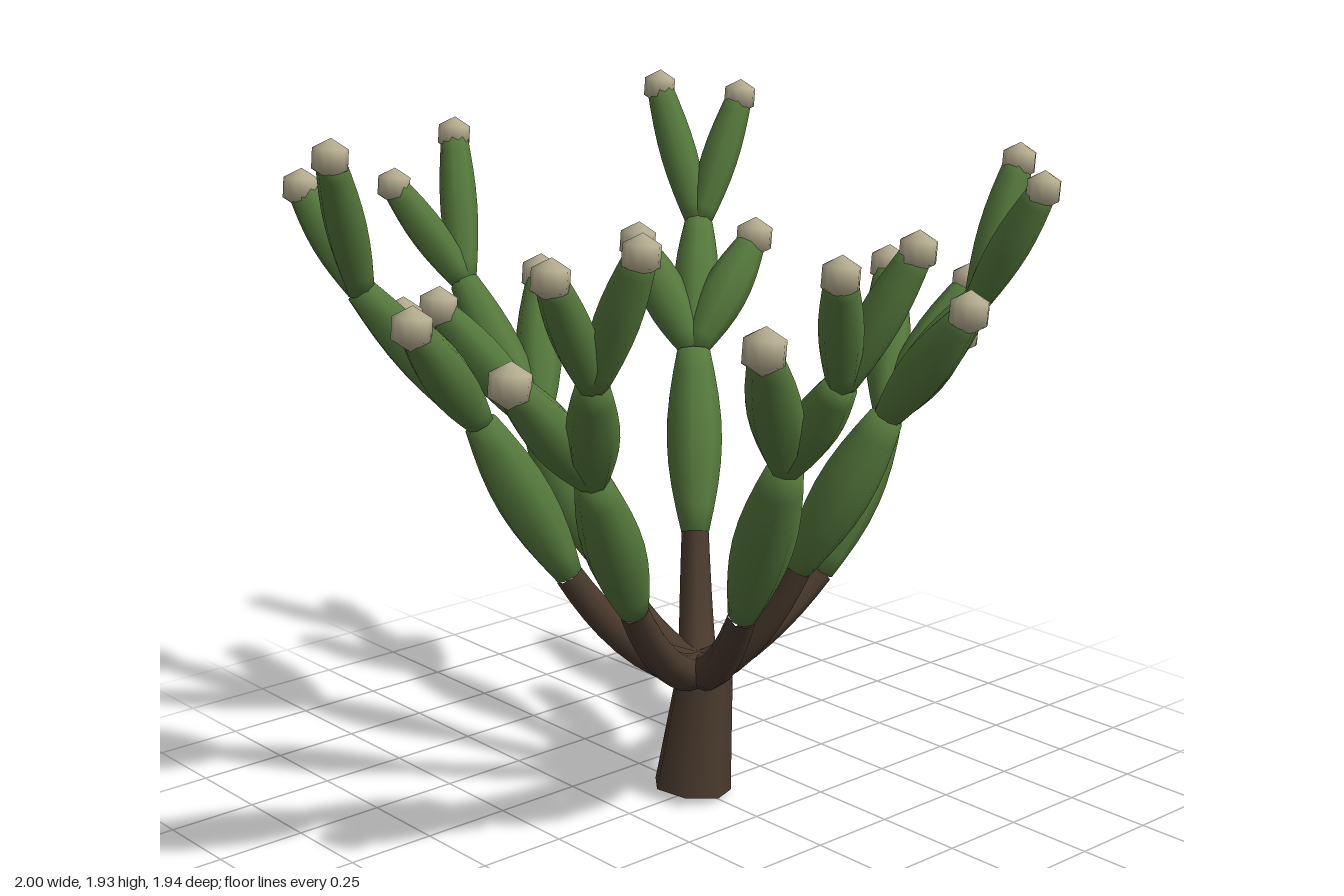
import * as THREE from 'three';

const bark = new THREE.MeshStandardMaterial({ color: 0x4a3a2d });
bark.name = 'dark bark';
const green = new THREE.MeshStandardMaterial({ color: 0x567a3d });
green.name = 'stem green';
const cream = new THREE.MeshStandardMaterial({ color: 0xb8b092 });
cream.name = 'bud cream';

const V = (a) => new THREE.Vector3(...a);
const UP = new THREE.Vector3(0, 1, 0);

// Each arm: end of its woody branch, first joint, single tips on that joint,
// and optionally a second joint carrying two smaller tips.
const arms = [
  { wood: [0.425, 0.575, 0.055], joint: [0.66, 1.0, 0.085],
    tips: [[0.87, 1.39, -0.12], [0.94, 1.365, 0.14], [0.74, 1.27, 0.285]] },
  { wood: [0.175, 0.68, 0.22], joint: [0.32, 1.12, 0.405],
    tips: [[0.345, 1.445, 0.665]],
    fork: [0.53, 1.43, 0.53], ends: [[0.69, 1.785, 0.52], [0.585, 1.74, 0.695]] },
  { wood: [-0.165, 0.66, 0.365], joint: [-0.235, 1.12, 0.59],
    tips: [[-0.485, 1.49, 0.775]],
    fork: [-0.245, 1.375, 0.79], ends: [[-0.375, 1.67, 0.91], [-0.13, 1.70, 0.92]] },
  { wood: [-0.39, 0.68, 0.19], joint: [-0.595, 1.09, 0.28],
    tips: [[-0.865, 1.385, 0.305]],
    fork: [-0.76, 1.4, 0.485], ends: [[-0.92, 1.68, 0.535], [-0.745, 1.73, 0.645]] },
  { wood: [-0.325, 0.68, -0.16], joint: [-0.53, 1.12, -0.265],
    tips: [[-0.795, 1.43, -0.19], [-0.625, 1.385, -0.475]],
    fork: [-0.81, 1.5, -0.39], ends: [[-0.90, 1.76, -0.51], [-0.955, 1.865, -0.285]] },
  { wood: [-0.08, 0.62, -0.28], joint: [-0.145, 1.0, -0.515],
    tips: [[-0.40, 1.36, -0.625], [0.045, 1.38, -0.735]],
    fork: [-0.19, 1.38, -0.79], ends: [[-0.345, 1.66, -0.90], [-0.105, 1.78, -0.935]] },
  { wood: [0.17, 0.69, -0.195], joint: [0.325, 1.17, -0.375],
    tips: [[0.31, 1.46, -0.605], [0.56, 1.475, -0.37]],
    fork: [0.51, 1.5, -0.56], ends: [[0.515, 1.885, -0.74], [0.675, 1.86, -0.56]] },
];

function mesh(name, geometry, material) {
  const m = new THREE.Mesh(geometry, material);
  m.name = name;
  return m;
}

// Place a +y geometry of unknown length at a, pointing towards b.
function aim(m, a, b) {
  m.position.copy(a);
  m.quaternion.setFromUnitVectors(UP, b.clone().sub(a).normalize());
  return m;
}

// Swollen spindle between two points.
function stem(name, a, b, rStart, rMid, rEnd) {
  const length = a.distanceTo(b);
  const points = [new THREE.Vector2(0, -0.012)];
  for (let i = 0; i <= 8; i++) {
    const t = i / 8;
    const base = rStart + (rEnd - rStart) * t;
    const swell = (rMid - (rStart + rEnd) / 2) * Math.sin(Math.PI * t);
    points.push(new THREE.Vector2(base + swell, t * length));
  }
  points.push(new THREE.Vector2(0, length + 0.012));
  return aim(mesh(name, new THREE.LatheGeometry(points, 8), green), a, b);
}

// Curved woody branch that thins towards its end.
function branch(end) {
  const start = new THREE.Vector3(0.01, 0.36, 0);
  const bend = new THREE.Vector3(end.x * 0.5, 0.39, end.z * 0.5);
  start.addScaledVector(new THREE.Vector3(end.x, 0, end.z).normalize(), -0.02);
  const curve = new THREE.QuadraticBezierCurve3(start, bend, end);
  const rings = 8, sides = 8;
  const geometry = new THREE.TubeGeometry(curve, rings, 1, sides, false);
  const pos = geometry.attributes.position;
  const p = new THREE.Vector3();
  for (let i = 0; i < pos.count; i++) {
    const t = Math.floor(i / (sides + 1)) / rings;
    const c = curve.getPointAt(t);
    p.fromBufferAttribute(pos, i).sub(c).multiplyScalar(0.056 - 0.017 * t).add(c);
    pos.setXYZ(i, p.x, p.y, p.z);
  }
  return mesh('woodyBranch', geometry, bark);
}

// Stem with a faceted bud on its end.
function tip(a, b, rMid, rBud) {
  const g = new THREE.Group();
  g.name = 'buddedStem';
  const bud = mesh('bud', new THREE.SphereGeometry(rBud, 10, 3), cream);
  bud.position.copy(b);
  bud.rotation.z = -0.1;
  g.add(stem('tipStem', a, b, 0.036, rMid, 0.038), bud);
  return g;
}

export function createModel() {
  const plant = new THREE.Group();
  plant.name = 'branchingSucculent';

  // Leaning trunk
  const foot = new THREE.Vector3(-0.018, 0.018, 0), crown = new THREE.Vector3(0.028, 0.36, 0.003);
  const h = foot.distanceTo(crown);
  const trunk = new THREE.CylinderGeometry(0.08, 0.112, h, 7).translate(0, h / 2, 0);
  plant.add(aim(mesh('trunk', trunk, bark), foot, crown));

  // Arms
  for (const a of arms) {
    const arm = new THREE.Group();
    arm.name = 'arm';
    const wood = V(a.wood), joint = V(a.joint);
    arm.add(branch(wood), stem('lowerStem', wood, joint, 0.04, 0.08, 0.048));
    for (const t of a.tips) arm.add(tip(joint, V(t), 0.068, 0.06));
    if (a.fork) {
      const fork = V(a.fork);
      arm.add(stem('upperStem', joint, fork, 0.038, 0.066, 0.042));
      for (const e of a.ends) arm.add(tip(fork, V(e), 0.054, 0.052));
    }
    plant.add(arm);
  }
  return plant;
}
